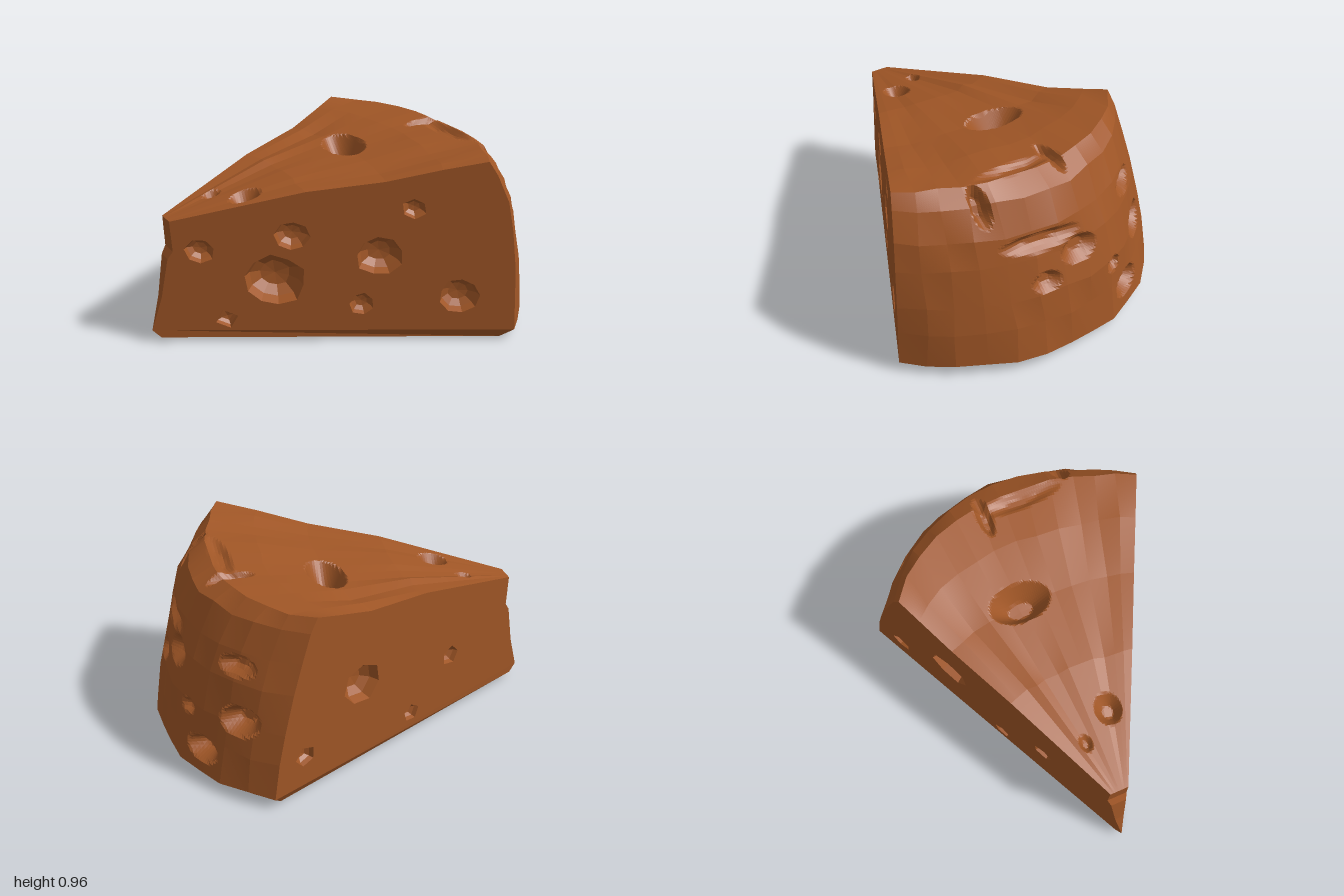
import * as THREE from 'three';

// Cross-stations of the skin, from the tip over the top, down the rind and back underneath:
// [front edge x, back edge x, edge y, middle x, middle y]
const STATIONS = [
  [-0.9, -0.9, 0.66, -0.9, 0.66], [-0.3, -0.32, 0.81, -0.27, 0.81], [0.05, 0.03, 0.86, 0.12, 0.86],
  [0.3, 0.22, 0.92, 0.42, 0.915], [0.5, 0.34, 0.96, 0.68, 0.94], [0.54, 0.38, 0.89, 0.78, 0.88],
  [0.595, 0.43, 0.75, 0.86, 0.73], [0.62, 0.48, 0.6, 0.9, 0.6], [0.64, 0.535, 0.4, 0.95, 0.4],
  [0.645, 0.57, 0.25, 0.975, 0.25], [0.65, 0.6, 0.06, 1, 0.06],
  [0.6, 0.56, 0.01, 0.93, 0.005], [-0.96, -0.96, 0.03, -0.96, 0.03],
];
const RIM_END = 10; // last station that borders a side wall
const TIP = [[-0.9, 0.66], [-0.89, 0.5], [-0.915, 0.46], [-0.95, 0.25], [-1, 0.07], [-0.96, 0.03]];

// Dents in the skin: [centre], [radii], [push]
const DENTS = [
  [[0.13, 0.87, -0.1], [0.1, 0.3, 0.16], [0, -0.12, 0]],
  [[-0.52, 0.75, 0.09], [0.08, 0.3, 0.07], [0, -0.06, 0]],
  [[-0.63, 0.72, -0.08], [0.045, 0.3, 0.035], [0, -0.03, 0]],
  [[0.62, 0.95, 0.12], [0.05, 0.2, 0.22], [0, -0.025, 0]],
  [[0.62, 0.95, -0.09], [0.13, 0.13, 0.04], [-0.03, -0.04, 0]],
  [[0.73, 0.88, 0.37], [0.13, 0.11, 0.045], [-0.05, -0.03, 0]],
  [[0.84, 0.67, 0.12], [0.3, 0.05, 0.22], [-0.04, 0, 0]],
  [[0.9, 0.56, -0.08], [0.3, 0.07, 0.11], [-0.05, 0, 0]],
  [[0.92, 0.46, 0.12], [0.3, 0.055, 0.08], [-0.04, 0, 0]],
  [[0.74, 0.67, -0.5], [0.3, 0.05, 0.09], [-0.05, 0, 0.03]],
  [[0.74, 0.41, -0.58], [0.3, 0.08, 0.09], [-0.07, 0, 0.05]],
  [[0.85, 0.18, -0.42], [0.3, 0.07, 0.1], [-0.08, 0, 0.04]],
  [[0.9, 0.37, -0.3], [0.3, 0.04, 0.05], [-0.04, 0, 0]],
  [[0.58, 0.01, -0.4], [0.07, 0.1, 0.12], [0, 0.05, 0]],
  [[0.37, 0.02, 0.33], [0.06, 0.1, 0.05], [0, 0.05, 0]],
  [[-0.4, 0.02, 0.05], [0.07, 0.1, 0.07], [0, 0.05, 0]],
];

// Round holes in the walls: [x, y, radius, sides]
const FRONT_HOLES = [
  [-0.44, 0.34, 0.135, 10], [0.03, 0.47, 0.105, 9], [0.39, 0.25, 0.09, 9], [-0.36, 0.58, 0.078, 8],
  [-0.77, 0.5, 0.068, 7], [-0.05, 0.21, 0.058, 7], [0.18, 0.72, 0.055, 6], [-0.66, 0.13, 0.055, 4],
];
const BACK_HOLES = [[0.08, 0.47, 0.11, 7], [-0.5, 0.36, 0.055, 5], [-0.24, 0.13, 0.05, 5], [0.42, 0.22, 0.055, 5]];

const lerp = THREE.MathUtils.lerp;
const noise = (a, b, c) => {
  const s = Math.sin(a * 12.99 + b * 78.23 + c * 37.72) * 43758.55;
  return s - Math.floor(s) - 0.5;
};

// z of the upright side walls
const wallZ = (x, side) => -0.02 + (side > 0 ? 0.488 : -0.475) * (x + 1);

function gridGeometry(rows) {
  const n = rows[0].length, index = [];
  for (let i = 0; i < rows.length - 1; i++) {
    for (let j = 0; j < n - 1; j++) {
      const a = i * n + j, b = a + n;
      index.push(a, a + 1, b, a + 1, b + 1, b);
    }
  }
  const g = new THREE.BufferGeometry();
  g.setAttribute('position', new THREE.Float32BufferAttribute(rows.flat(2), 3));
  g.setIndex(index);
  g.computeVertexNormals();
  return g;
}

// Coarse control point on the skin
const COLS = 12, ARC = THREE.MathUtils.degToRad(52);
function control(i, j) {
  const [fx, bx, ey, mx, my] = STATIONS[i];
  const a = lerp(-ARC, ARC, j / COLS);
  const w = (Math.cos(a) - Math.cos(ARC)) / (1 - Math.cos(ARC));
  const t = (Math.sin(a) / Math.sin(ARC) + 1) / 2;
  const shrink = i > RIM_END ? 0.96 : 1;
  const p = [lerp(lerp(bx, fx, t), mx, w), lerp(ey, my, w), lerp(wallZ(bx, -1), wallZ(fx, 1), t) * shrink];
  const inner = j > 0 && j < COLS && i > 0 && i < STATIONS.length - 1;
  return inner ? p.map((v, k) => v + 0.018 * noise(i, j, k) * (i > RIM_END ? 0.4 : 1)) : p;
}

function dent(p) {
  const out = [...p];
  for (const [c, r, push] of DENTS) {
    const d = Math.hypot(...p.map((v, k) => (v - c[k]) / r[k]));
    const f = Math.min(1, Math.max(0, 1 - d) * 1.7);
    push.forEach((v, k) => { out[k] += v * f; });
  }
  return out;
}

// Top, rind and underside as one faceted skin
function skinGeometry() {
  const rows = [], fine = 10;
  for (let i = 0; i < STATIONS.length - 1; i++) {
    const [A, B] = [STATIONS[i], STATIONS[i + 1]];
    const steps = Math.ceil(Math.hypot(B[3] - A[3], B[4] - A[4]) / 0.014);
    const last = i === STATIONS.length - 2 ? 1 : 0;
    for (let s = 0; s < steps + last; s++) {
      const row = [];
      for (let q = 0; q <= COLS * fine; q++) {
        const j = Math.min(COLS - 1, Math.floor(q / fine)), u = q / fine - j, v = s / steps;
        const c = [control(i, j), control(i, j + 1), control(i + 1, j), control(i + 1, j + 1)];
        const p = [0, 1, 2].map(k => lerp(lerp(c[0][k], c[1][k], u), lerp(c[2][k], c[3][k], u), v));
        row.push(q > 0 && q < COLS * fine ? dent(p) : p);
      }
      rows.push(row);
    }
  }
  return gridGeometry(rows);
}

// Irregular ring of a hole, scaled by k
const ring = ([cx, cy, r, n], k) => Array.from({ length: n }, (_, i) => {
  const a = (i / n) * Math.PI * 2 + cx * 9;
  const rr = r * k * (1 + 0.16 * noise(i, cx, cy));
  return new THREE.Vector2(cx + rr * Math.cos(a), cy + rr * Math.sin(a));
});

function wallGeometry(side, holes) {
  const rim = STATIONS.slice(0, RIM_END + 1).map(s => [side > 0 ? s[0] : s[1], s[2]]);
  const outline = [...rim, ...TIP.slice(1, 5).reverse()];
  const shape = new THREE.Shape(outline.map(p => new THREE.Vector2(p[0], p[1])));
  shape.holes = holes.map(h => new THREE.Path(ring(h, 1)));
  const g = new THREE.ShapeGeometry(shape);
  const p = g.attributes.position;
  for (let i = 0; i < p.count; i++) p.setZ(i, wallZ(p.getX(i), side));
  if (side < 0) g.setIndex(Array.from(g.index.array).reverse());
  g.computeVertexNormals();
  return g;
}

// Faceted hollow behind a wall hole
function bowlGeometry(side, hole) {
  const rows = [[1, 0], [0.85, 0.45], [0.5, 0.75], [0, 0.82]].map(([k, d]) => {
    const depth = d * hole[2];
    const pts = ring(hole, k).map(v => [v.x + 0.42 * depth, v.y, wallZ(v.x, side) - side * 0.9 * depth]);
    return [...pts, pts[0]];
  });
  return gridGeometry(side > 0 ? rows : rows.reverse());
}

export function createModel() {
  const group = new THREE.Group();
  group.name = 'cheeseWedge';
  const cheese = new THREE.MeshStandardMaterial({ color: 0xa05626, flatShading: true, side: THREE.DoubleSide });
  cheese.name = 'cheese';
  const add = (name, geometry) => {
    const mesh = new THREE.Mesh(geometry, cheese);
    mesh.name = name;
    group.add(mesh);
  };

  add('topRindAndBase', skinGeometry());

  // Side walls, their holes and the bevel along the lower edge
  for (const [side, label, holes] of [[1, 'front', FRONT_HOLES], [-1, 'back', BACK_HOLES]]) {
    add(label + 'Wall', wallGeometry(side, holes));
    holes.forEach((h, i) => add(`${label}Hole${i + 1}`, bowlGeometry(side, h)));
    const edge = (x, y, k = 1) => [x, y, wallZ(x, side) * k];
    const [upper, lower] = [STATIONS[RIM_END], STATIONS[RIM_END + 1]].map(s => [side > 0 ? s[0] : s[1], s[2]]);
    const bevel = [[edge(-1, 0.07), edge(...upper)], [edge(-0.96, 0.03, 0.96), edge(...lower, 0.96)]];
    add(label + 'Bevel', gridGeometry(side > 0 ? bevel.reverse() : bevel));
  }

  // Narrow blunt strip at the point of the wedge
  add('tip', gridGeometry(TIP.map(([x, y], i) => [1, -1].map(s => [x, y, wallZ(x, s) * (i === 5 ? 0.96 : 1)]))));
  return group;
}
